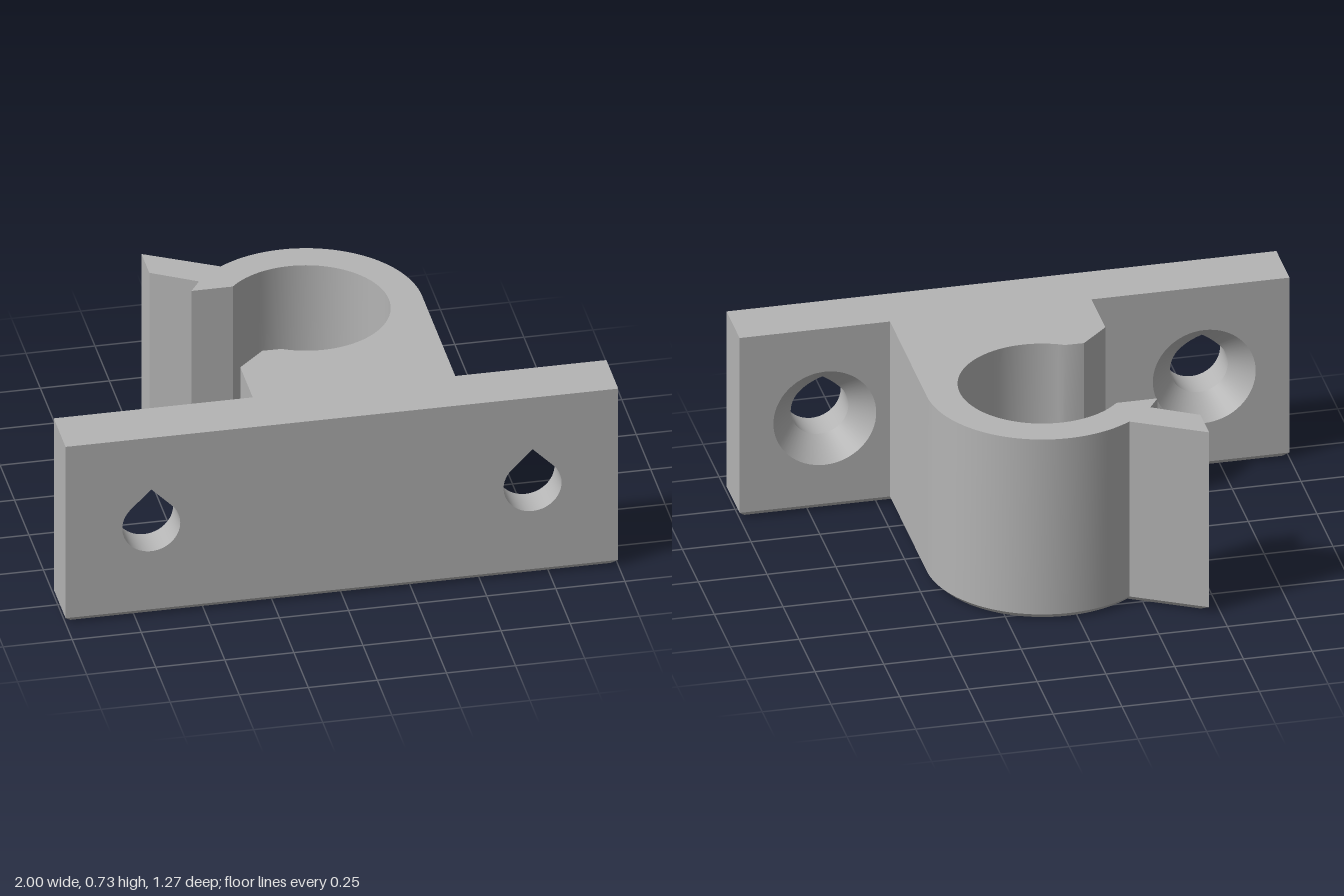
import * as THREE from 'three';
import { toCreasedNormals } from 'three/addons/utils/BufferGeometryUtils.js';

const HEIGHT = 0.725, CHAMFER = 0.022;
const FRONT = 0.635, BACK = 0.43;            // plate faces in z
const RING_X = 0.033, RING_Z = -0.145;       // clip ring centre
const HOLE_X = 0.69, HOLE_Y = 0.365, HOLE_R = 0.105, SINK_R = 0.187;
const STEPS = 64;

const grey = new THREE.MeshStandardMaterial({ color: 0xb4b4b4 });
grey.name = 'grey plastic';

const V2 = (x, y) => new THREE.Vector2(x, y);

// Outline seen from above, counterclockwise, stored as (x, -z)
function outline() {
  const pts = [];
  const add = (x, z) => pts.push(V2(x, -z));
  const arc = (r, a0, a1, n) => {
    for (let i = 0; i <= n; i++) {
      const a = a0 + (a1 - a0) * i / n;
      add(RING_X + r * Math.cos(a), RING_Z + r * Math.sin(a));
    }
  };
  add(-1, FRONT); add(1, FRONT); add(1, BACK); add(0.453, BACK);
  arc(0.42, 0, -2.168, 36);                                        // outside of the ring
  add(-0.46, -0.635); add(-0.46, -0.5);                            // flared lip
  add(-0.3, -0.405); add(-0.34, -0.345);                           // barb
  arc(0.3, -2.41, 2.07, 56);                                       // inside of the ring
  add(-0.18, 0.117); add(-0.28, 0.215); add(-0.28, BACK); add(-1, BACK);
  return pts;
}

// Mitred inward offset of a counterclockwise outline
function inset(pts, d) {
  const n = pts.length;
  const normal = (p, q) => V2(p.y - q.y, q.x - p.x).normalize();
  return pts.map((p, i) => {
    const a = normal(pts[(i + n - 1) % n], p), b = normal(p, pts[(i + 1) % n]);
    return a.clone().add(b).multiplyScalar(d / (1 + a.dot(b))).add(p);
  });
}

// Collects quads and turns them into a geometry with sharp edges kept
function quadGeometry(quads) {
  const pos = [];
  for (const [a, b, c, d] of quads) for (const p of [a, b, c, a, c, d]) pos.push(...p);
  const g = new THREE.BufferGeometry();
  g.setAttribute('position', new THREE.Float32BufferAttribute(pos, 3));
  return toCreasedNormals(g, Math.PI / 6);
}

// Side walls and bottom chamfer; the drilled faces are left open
function wallGeometry(pts, low) {
  const quads = [];
  const at = (p, y) => [p.x, y, -p.y];
  const n = pts.length;
  pts.forEach((p, i) => {
    const j = (i + 1) % n, q = pts[j];
    quads.push([at(low[i], 0), at(low[j], 0), at(q, CHAMFER), at(p, CHAMFER)]);
    const drilled = i === 0 || i === 2 || i === n - 2;
    if (!drilled) quads.push([at(p, CHAMFER), at(q, CHAMFER), at(q, HEIGHT), at(p, HEIGHT)]);
  });
  return quadGeometry(quads);
}

// Round hole with a pointed 45 degree roof
function teardropRadius(t) {
  const q = Math.PI / 4;
  if (t >= q && t <= 2 * q) return HOLE_R / Math.cos(t - q);
  if (t > 2 * q && t <= 3 * q) return HOLE_R / Math.cos(t - 3 * q);
  return HOLE_R;
}

function ring(cx, radiusAt) {
  return Array.from({ length: STEPS }, (_, i) => {
    const t = i / STEPS * Math.PI * 2, r = radiusAt(t);
    return V2(cx + r * Math.cos(t), HOLE_Y + r * Math.sin(t));
  });
}

// Flat rectangular face with holes
function drilledFace(x0, x1, holes) {
  const s = new THREE.Shape([V2(x0, CHAMFER), V2(x1, CHAMFER), V2(x1, HEIGHT), V2(x0, HEIGHT)]);
  s.holes = holes.map(h => new THREE.Path(h));
  return new THREE.ShapeGeometry(s);
}

// Countersink cone running into the teardrop bore
function boreGeometry(cx) {
  const quads = [];
  const loops = t => {
    const r = teardropRadius(t);
    const at = (rad, z) => [cx + rad * Math.cos(t), HOLE_Y + rad * Math.sin(t), z];
    return [at(SINK_R, BACK), at(r, BACK + SINK_R - r), at(r, FRONT)];
  };
  for (let i = 0; i < STEPS; i++) {
    const a = loops(i / STEPS * Math.PI * 2), b = loops((i + 1) / STEPS * Math.PI * 2);
    for (let k = 0; k < 2; k++) quads.push([a[k], a[k + 1], b[k + 1], b[k]]);
  }
  return quadGeometry(quads);
}

export function createModel() {
  const model = new THREE.Group();
  model.name = 'pipeClip';
  const add = (name, geometry) => {
    const mesh = new THREE.Mesh(geometry, grey);
    mesh.name = name;
    model.add(mesh);
  };

  // Clip and plate body
  const pts = outline(), low = inset(pts, CHAMFER);
  add('bodyWalls', wallGeometry(pts, low));
  add('bodyTop', new THREE.ShapeGeometry(new THREE.Shape(pts))
    .rotateX(-Math.PI / 2).translate(0, HEIGHT, 0));
  add('bodyBottom', new THREE.ShapeGeometry(new THREE.Shape(low.map(p => V2(p.x, -p.y))))
    .rotateX(Math.PI / 2));

  // Plate faces with screw holes
  const front = [-HOLE_X, HOLE_X].map(x => ring(x, teardropRadius));
  add('plateFront', drilledFace(-1, 1, front).translate(0, 0, FRONT));
  const wing = (x0, x1, cx) => drilledFace(-x1, -x0, [ring(-cx, () => SINK_R)])
    .rotateY(Math.PI).translate(0, 0, BACK);
  add('rightWingBack', wing(-1, -0.28, -HOLE_X));
  add('leftWingBack', wing(0.453, 1, HOLE_X));
  add('rightScrewHole', boreGeometry(-HOLE_X));
  add('leftScrewHole', boreGeometry(HOLE_X));

  return model;
}
